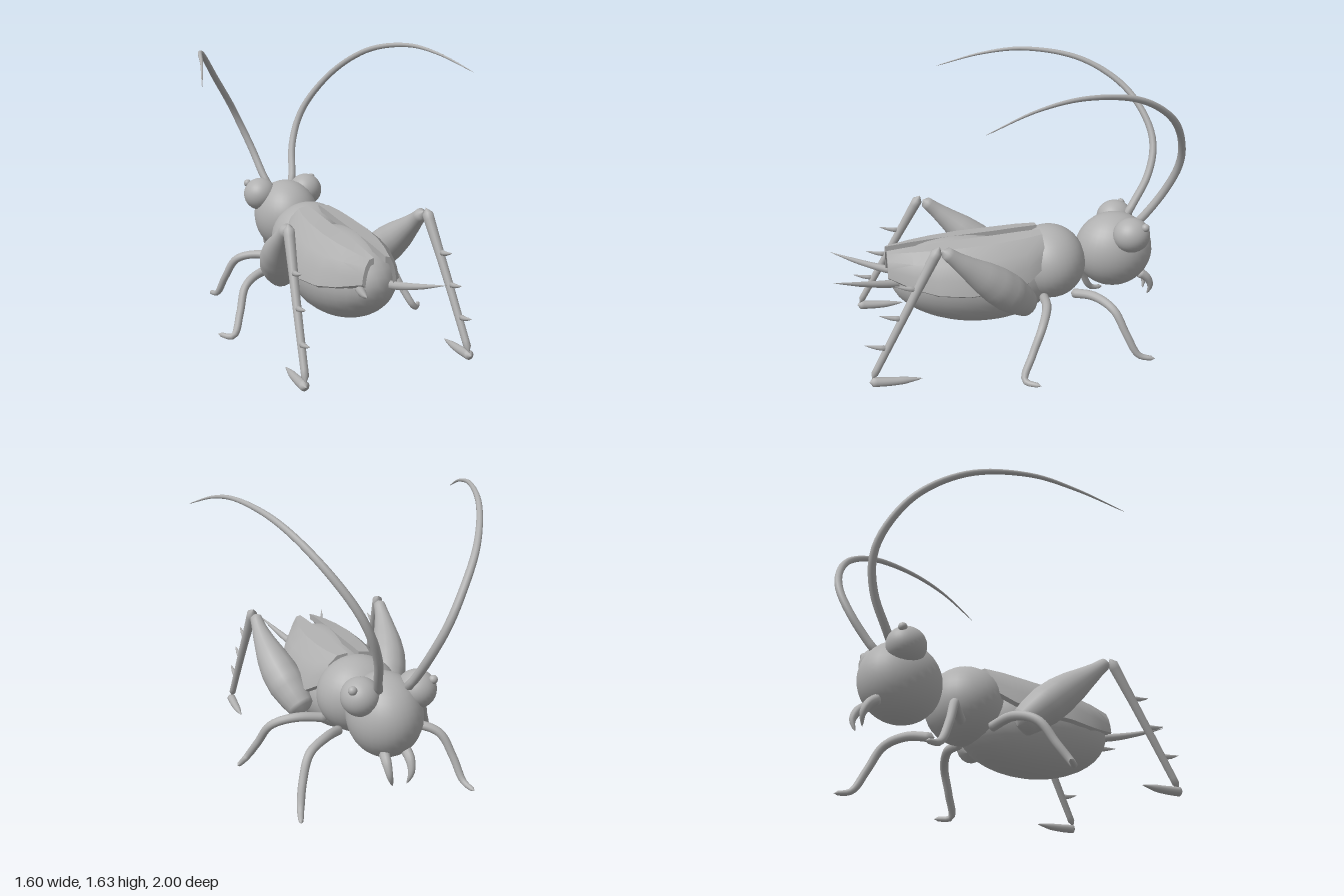
import * as THREE from 'three';
import { mergeVertices, toCreasedNormals } from 'three/addons/utils/BufferGeometryUtils.js';

const grey = new THREE.MeshStandardMaterial({ color: 0xb0b0b0 });
grey.name = 'plain grey';

function add(parent, name, geometry) {
  const mesh = new THREE.Mesh(geometry, grey);
  mesh.name = name;
  parent.add(mesh);
  return mesh;
}

function ellipsoid(parent, name, pos, radii, tilt = 0) {
  const mesh = add(parent, name, new THREE.SphereGeometry(1, 32, 20));
  mesh.position.set(...pos);
  mesh.scale.set(...radii);
  mesh.rotation.x = tilt;
}

// Round limb along a smooth path; radii are spread evenly over its length
function limb(parent, name, side, points, radii, segments = 24, sides = 12) {
  const path = new THREE.CatmullRomCurve3(points.map(([x, y, z]) => new THREE.Vector3(x * side, y, z)));
  const tube = new THREE.TubeGeometry(path, segments, 1, sides);
  const pos = tube.attributes.position;
  const v = new THREE.Vector3();
  for (let i = 0; i <= segments; i++) {
    const c = path.getPointAt(i / segments);
    const f = (i / segments) * (radii.length - 1);
    const k = Math.min(Math.floor(f), radii.length - 2);
    // ends close to a point so the limb has caps
    const r = i === 0 || i === segments ? 0.0005 : THREE.MathUtils.lerp(radii[k], radii[k + 1], f - k);
    for (let j = 0; j <= sides; j++) {
      const n = i * (sides + 1) + j;
      v.fromBufferAttribute(pos, n).sub(c).multiplyScalar(r).add(c);
      pos.setXYZ(n, v.x, v.y, v.z);
    }
  }
  tube.deleteAttribute('uv');
  tube.deleteAttribute('normal');
  const geometry = mergeVertices(tube, 1e-5);
  geometry.computeVertexNormals();
  return add(parent, name, geometry);
}

// Folded wing case: a bent shell lofted through cross-sections from front to back
function wingCase(side) {
  const stations = [ // z, top height, outer x, outer height
    [-0.21, 0.70, 0.19, 0.53], [-0.1, 0.695, 0.25, 0.46], [0.05, 0.685, 0.28, 0.43],
    [0.25, 0.675, 0.29, 0.425], [0.42, 0.665, 0.25, 0.43], [0.55, 0.655, 0.19, 0.455],
    [0.69, 0.64, 0.1, 0.5],
  ];
  const bend = [[0, 0], [0.4, 0.05], [0.72, 0.33], [0.9, 0.65], [1, 1]];
  const n = bend.length, ring = n * 2, verts = [], index = [];
  for (const [z, top, xo, yo] of stations) {
    const outer = bend.map(([u, w]) => [0.033 + u * (xo - 0.033), top + w * (yo - top)]);
    const inner = outer.map(([x, y], i) => [x - 0.02 * bend[i][0], y - 0.035 * (1 - 0.6 * bend[i][1])]);
    for (const [x, y] of [...outer, ...inner.reverse()]) verts.push(x * side, y, z);
  }
  const quad = (a, b, c, d) => (side > 0 ? index.push(a, b, c, a, c, d) : index.push(a, c, b, a, d, c));
  for (let i = 0; i < stations.length - 1; i++) {
    for (let j = 0; j < ring; j++) {
      const a = i * ring + j, b = i * ring + ((j + 1) % ring);
      quad(a, a + ring, b + ring, b);
    }
  }
  const last = (stations.length - 1) * ring;
  for (let j = 0; j < n - 1; j++) {
    const p = ring - 1 - j;
    quad(j, j + 1, p - 1, p);
    quad(last + p, last + p - 1, last + j + 1, last + j);
  }
  const geometry = new THREE.BufferGeometry();
  geometry.setAttribute('position', new THREE.Float32BufferAttribute(verts, 3));
  geometry.setIndex(index);
  return toCreasedNormals(geometry, 0.5);
}

export function createModel() {
  const model = new THREE.Group();
  model.name = 'cricket';

  // Body, head towards -z
  ellipsoid(model, 'abdomen', [0, 0.415, 0.19], [0.265, 0.255, 0.49], -0.12);
  ellipsoid(model, 'thorax', [0, 0.48, -0.28], [0.235, 0.22, 0.215]);
  ellipsoid(model, 'head', [0, 0.523, -0.68], [0.203, 0.228, 0.235]);

  for (const side of [1, -1]) {
    const label = side > 0 ? 'left' : 'right';
    const half = new THREE.Group();
    half.name = label + 'Side';
    model.add(half);

    // Face
    ellipsoid(half, 'eye', [0.157 * side, 0.665, -0.735], [0.105, 0.103, 0.11]);
    ellipsoid(half, 'pupil', [0.222 * side, 0.73, -0.795], [0.024, 0.024, 0.024]);
    limb(half, 'antenna', side, [
      [0.07, 0.68, -0.77], [0.1, 0.76, -0.83], [0.14, 0.92, -0.93], [0.2, 1.08, -0.98], [0.27, 1.22, -0.965],
      [0.405, 1.42, -0.85], [0.54, 1.575, -0.61], [0.655, 1.63, -0.28], [0.72, 1.6, -0.02], [0.8, 1.515, 0.26],
    ], [0.025, 0.023, 0.02, 0.016, 0.011, 0.002], 48, 10);
    limb(half, 'mouthpart', side, [
      [0.06, 0.38, -0.82], [0.065, 0.34, -0.88], [0.06, 0.28, -0.91], [0.04, 0.215, -0.9],
    ], [0.03, 0.027, 0.018, 0.004], 12, 10);

    // Wing case and tail feeler
    add(half, 'wingCase', wingCase(side));
    limb(half, 'tailFeeler', side, [
      [0.07, 0.45, 0.58], [0.11, 0.47, 0.7], [0.16, 0.505, 0.84], [0.22, 0.555, 1.0],
    ], [0.026, 0.022, 0.014, 0.001], 12, 10);

    // Front and middle legs
    limb(half, 'frontLeg', side, [
      [0.14, 0.32, -0.38], [0.26, 0.34, -0.49], [0.38, 0.3, -0.57],
      [0.44, 0.17, -0.63], [0.475, 0.045, -0.7], [0.5, 0.025, -0.79],
    ], [0.028, 0.027, 0.025, 0.023, 0.022, 0.012], 32);
    limb(half, 'middleLeg', side, [
      [0.15, 0.32, -0.21], [0.34, 0.335, -0.18], [0.47, 0.28, -0.12],
      [0.53, 0.15, -0.05], [0.59, 0.035, 0.005], [0.66, 0.03, -0.07],
    ], [0.028, 0.027, 0.025, 0.023, 0.022, 0.012], 32);

    // Jumping leg
    limb(half, 'hindThigh', side, [
      [0.255, 0.32, -0.1], [0.35, 0.52, 0.12], [0.395, 0.68, 0.31], [0.405, 0.775, 0.42],
    ], [0.07, 0.095, 0.11, 0.106, 0.09, 0.066, 0.045, 0.032], 28, 16);
    limb(half, 'hindShin', side, [
      [0.41, 0.8, 0.435], [0.445, 0.44, 0.635], [0.475, 0.08, 0.835],
    ], [0.032, 0.025, 0.022, 0.02]);
    limb(half, 'hindFoot', side, [
      [0.48, 0.065, 0.85], [0.48, 0.055, 0.7], [0.48, 0.055, 0.56],
    ], [0.027, 0.025, 0.02, 0.003], 14);
    for (let i = 0; i < 3; i++) {
      const x = 0.435 + i * 0.015, y = 0.575 - i * 0.16, z = 0.565 + i * 0.087;
      limb(half, 'shinSpine', side, [[x, y, z], [x, y + 0.01, z + 0.06], [x, y + 0.03, z + 0.125]],
        [0.018, 0.012, 0.002], 6, 8);
    }
  }
  return model;
}
